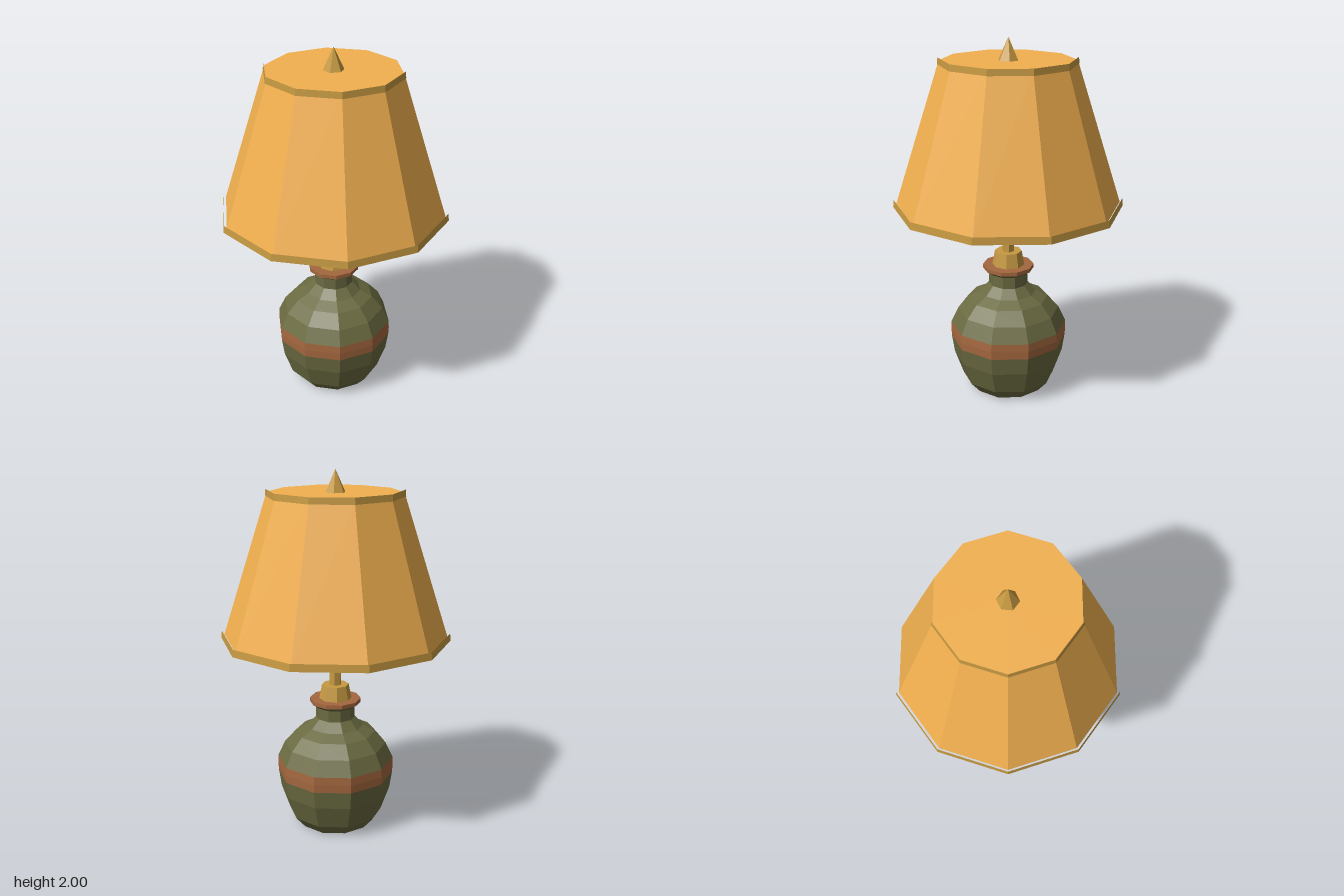
import * as THREE from 'three';

const paint = (color) => new THREE.MeshStandardMaterial({ color, flatShading: true });

export function createModel() {
  const lamp = new THREE.Group();
  lamp.name = 'tableLamp';
  const green = paint(0x6b6b42), clay = paint(0xa5683f), brass = paint(0xc79a42);
  const fabric = paint(0xf2b04f), lining = paint(0xd9742e);

  function add(name, geometry, material, y = 0) {
    const mesh = new THREE.Mesh(geometry, material);
    mesh.name = name;
    mesh.position.y = y;
    lamp.add(mesh);
    return mesh;
  }
  // Tapered prism standing between two heights
  const prism = (name, material, sides, y0, y1, r0, r1, open = false) =>
    add(name, new THREE.CylinderGeometry(r1, r0, y1 - y0, sides, 1, open), material, (y0 + y1) / 2);
  // Ten-sided turned shape from [radius, height] pairs
  const turned = (name, material, profile) =>
    add(name, new THREE.LatheGeometry(profile.map(([r, y]) => new THREE.Vector2(r, y)), 10), material);

  // Vase: lower bowl, painted band, shoulder with flared neck
  turned('vaseLower', green, [[0, 0], [0.205, 0], [0.262, 0.065], [0.31, 0.2], [0.325, 0.3]]);
  turned('vaseBand', clay, [[0.325, 0.3], [0.327, 0.345], [0.325, 0.39]]);
  turned('vaseUpper', green, [
    [0.325, 0.39], [0.285, 0.475], [0.222, 0.545], [0.155, 0.58],
    [0.108, 0.63], [0.108, 0.695], [0.14, 0.72],
  ]);
  prism('vaseLip', clay, 10, 0.718, 0.74, 0.142, 0.142);

  // Brass fittings
  prism('socket', brass, 8, 0.74, 0.82, 0.09, 0.075);
  prism('pole', brass, 6, 0.82, 1.1, 0.035, 0.035);

  // Shade with lining disc underneath and open trim bands
  prism('shade', fabric, 10, 1.1, 1.88, 0.612, 0.362);
  const disc = add('shadeLining', new THREE.CircleGeometry(0.602, 10, Math.PI / 2), lining, 1.095);
  disc.rotation.x = Math.PI / 2;
  prism('lowerTrim', brass, 10, 1.08, 1.12, 0.63, 0.626, true);
  prism('upperTrim', brass, 10, 1.86, 1.895, 0.371, 0.368, true);

  // Finial
  add('finial', new THREE.ConeGeometry(0.056, 0.12, 6), brass, 1.94);

  return lamp;
}
